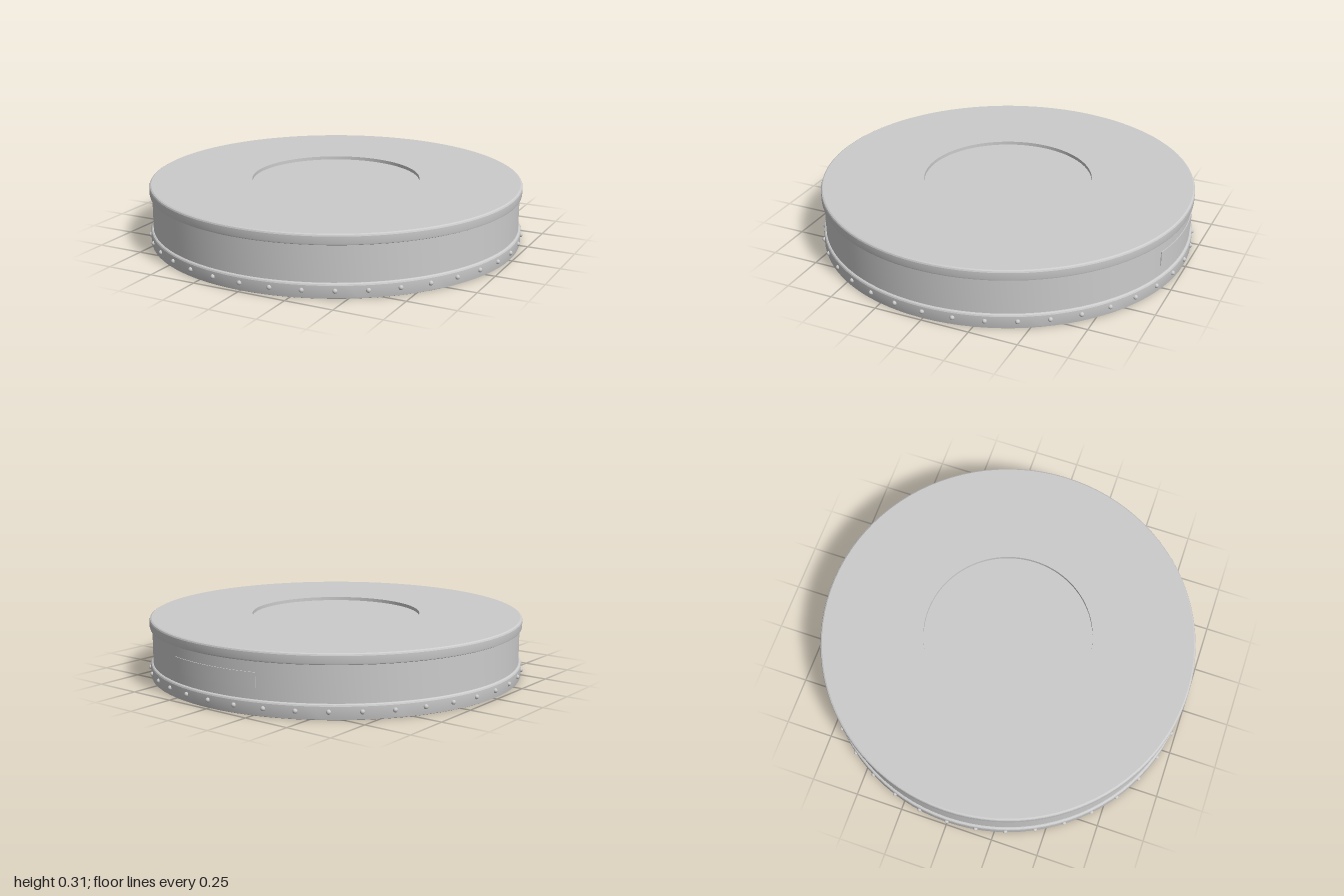
import * as THREE from 'three';
import { toCreasedNormals } from 'three/addons/utils/BufferGeometryUtils.js';

const SEGMENTS = 96;
const BODY_R = 0.975, RIM_R = 0.988, HEIGHT = 0.315;

export function createModel() {
  const group = new THREE.Group();
  const material = new THREE.MeshStandardMaterial({ color: 0xcccccc });

  const add = (name, geometry, parent = group) => {
    const mesh = new THREE.Mesh(geometry, material);
    mesh.name = name;
    parent.add(mesh);
    return mesh;
  };
  // Turned part from [radius, height] pairs, running upward on the outside
  const turned = (name, profile) => add(name, toCreasedNormals(
    new THREE.LatheGeometry(profile.map(([r, y]) => new THREE.Vector2(r, y)), SEGMENTS), 0.4));

  // Drum wall between the two rims
  turned('drumWall', [[BODY_R, 0.06], [BODY_R, 0.28]]);

  // Bottom rim with the closed underside
  turned('bottomRim', [
    [0, 0], [RIM_R - 0.008, 0], [RIM_R - 0.002, 0.003], [RIM_R, 0.01],
    [RIM_R, 0.066], [RIM_R - 0.003, 0.073], [RIM_R - 0.009, 0.077], [BODY_R - 0.01, 0.077],
  ]);

  // Top rim and lid with a shallow round recess
  turned('topLid', [
    [BODY_R - 0.01, 0.26], [RIM_R - 0.008, 0.26], [RIM_R - 0.002, 0.263], [RIM_R, 0.27],
    [RIM_R, 0.304], [RIM_R - 0.003, 0.311], [RIM_R - 0.01, HEIGHT],
    [0.446, HEIGHT], [0.446, HEIGHT - 0.018], [0, HEIGHT - 0.018],
  ]);

  // Thin curved plate on the back of the wall
  const halfAngle = THREE.MathUtils.degToRad(15.5);
  const plateR = BODY_R + 0.004, innerR = BODY_R - 0.01;
  const arc = new THREE.Shape();
  arc.absarc(0, 0, plateR, Math.PI / 2 - halfAngle, Math.PI / 2 + halfAngle, false);
  arc.absarc(0, 0, innerR, Math.PI / 2 + halfAngle, Math.PI / 2 - halfAngle, true);
  const plate = new THREE.ExtrudeGeometry(arc, { depth: 0.075, bevelEnabled: false, curveSegments: 24 });
  plate.rotateX(-Math.PI / 2).translate(0, 0.132, 0);
  add('backPlate', toCreasedNormals(plate, 0.4));

  // Ring of rivets around the bottom rim
  const rivets = new THREE.Group();
  rivets.name = 'rivets';
  group.add(rivets);
  const rivet = new THREE.SphereGeometry(0.012, 12, 8);
  for (let i = 0; i < 40; i++) {
    const a = (i / 40) * Math.PI * 2;
    add('rivet', rivet, rivets).position.set(Math.sin(a) * RIM_R, 0.041, Math.cos(a) * RIM_R);
  }

  return group;
}
